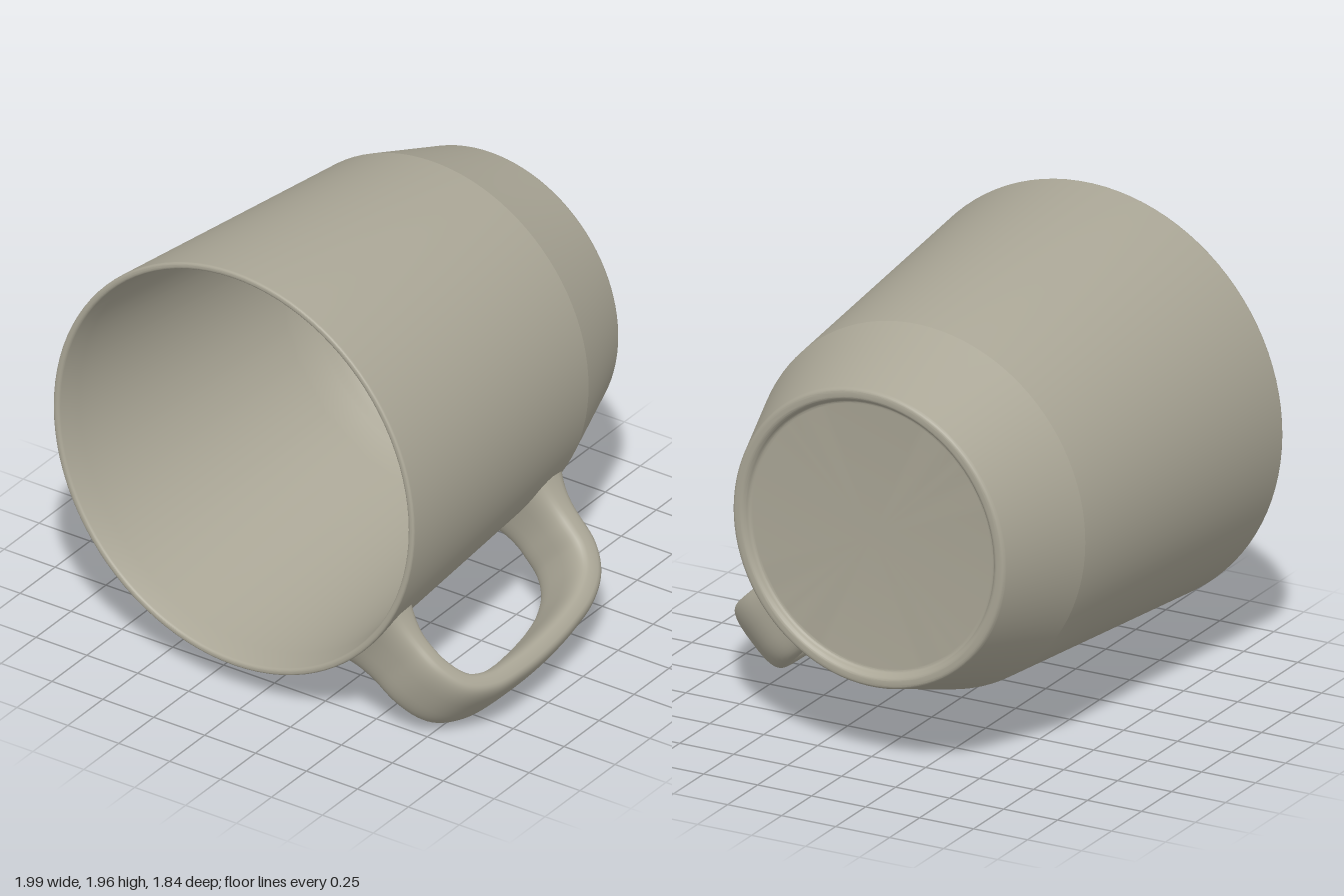
import * as THREE from 'three';
import { toCreasedNormals } from 'three/addons/utils/BufferGeometryUtils.js';

const glaze = new THREE.MeshStandardMaterial({ color: 0xaaa696 });
glaze.name = 'greyBeigeGlaze';

// Cup: one closed profile (radius, axial position), foot recess -> outside -> rim -> inside
function makeCup() {
  const p = new THREE.Path();
  p.moveTo(0, -0.87);
  p.lineTo(0.565, -0.87);
  p.quadraticCurveTo(0.58, -0.87, 0.585, -0.885);
  p.quadraticCurveTo(0.595, -0.905, 0.61, -0.905);
  p.lineTo(0.622, -0.905);
  p.quadraticCurveTo(0.64, -0.905, 0.645, -0.885);
  p.lineTo(0.784, -0.49);
  p.lineTo(0.906, 0.885);
  p.quadraticCurveTo(0.907, 0.9, 0.892, 0.9);
  p.quadraticCurveTo(0.878, 0.9, 0.875, 0.885);
  p.lineTo(0.86, 0.78);
  p.lineTo(0.736, -0.46);
  p.quadraticCurveTo(0.725, -0.53, 0.7, -0.6);
  p.quadraticCurveTo(0.65, -0.78, 0.52, -0.78);
  p.lineTo(0, -0.78);
  const geo = toCreasedNormals(new THREE.LatheGeometry(p.getPoints(14), 96), 0.2);
  const cup = new THREE.Mesh(geo, glaze);
  cup.name = 'cup';
  // lying on its side, mouth forward, slightly tilted and slightly oval
  const axis = new THREE.Vector3(-0.018, 0.018, 1).normalize();
  cup.quaternion.setFromUnitVectors(new THREE.Vector3(0, 1, 0), axis);
  cup.position.set(-0.0865, 1.0365, -0.002);
  cup.scale.set(0.99, 1, 1.01);
  return cup;
}

// Handle: rounded-rectangle section swept along a curve, flared where it meets the cup
function makeHandle() {
  const path = new THREE.CatmullRomCurve3([
    [0.855, 0.79], [1.0, 0.785], [1.13, 0.765], [1.24, 0.7], [1.295, 0.58],
    [1.31, 0.4], [1.302, 0.2], [1.275, 0], [1.235, -0.15], [1.17, -0.26],
    [1.08, -0.32], [0.97, -0.335], [0.78, -0.345],
  ].map(([r, z]) => new THREE.Vector3(r, 0, z)));
  const rings = 90, sides = 40;
  const width = new THREE.Vector3(0, 1, 0);
  const round = (v) => Math.sign(v) * Math.pow(Math.abs(v), 0.65);
  const pos = [], index = [];
  for (let i = 0; i <= rings; i++) {
    const u = i / rings;
    const c = path.getPointAt(u);
    const n = new THREE.Vector3().crossVectors(width, path.getTangentAt(u)).normalize();
    const nearEnd = Math.max(0, 1 - Math.min(u, 1 - u) / 0.1) ** 2;
    const halfThick = 0.06 + 0.015 * THREE.MathUtils.smoothstep(u, 0.6, 0.85) + 0.045 * nearEnd;
    const halfWidth = 0.163 + 0.035 * nearEnd;
    for (let j = 0; j < sides; j++) {
      const a = (j / sides) * Math.PI * 2;
      const v = c.clone()
        .addScaledVector(n, halfThick * round(Math.cos(a)))
        .addScaledVector(width, halfWidth * round(Math.sin(a)));
      pos.push(v.x, v.y, v.z);
      if (i < rings) {
        const k = (j + 1) % sides;
        const p = i * sides + j, q = i * sides + k;
        index.push(p, q, p + sides, q, q + sides, p + sides);
      }
    }
  }
  const geo = new THREE.BufferGeometry();
  geo.setAttribute('position', new THREE.Float32BufferAttribute(pos, 3));
  geo.setIndex(index);
  geo.computeVertexNormals();
  const handle = new THREE.Mesh(geo, glaze);
  handle.name = 'handle';
  handle.position.set(-0.09, 1.04, 0);
  handle.rotation.z = -0.754;
  return handle;
}

export function createModel() {
  const mug = new THREE.Group();
  mug.name = 'mug';
  mug.add(makeCup(), makeHandle());
  return mug;
}
